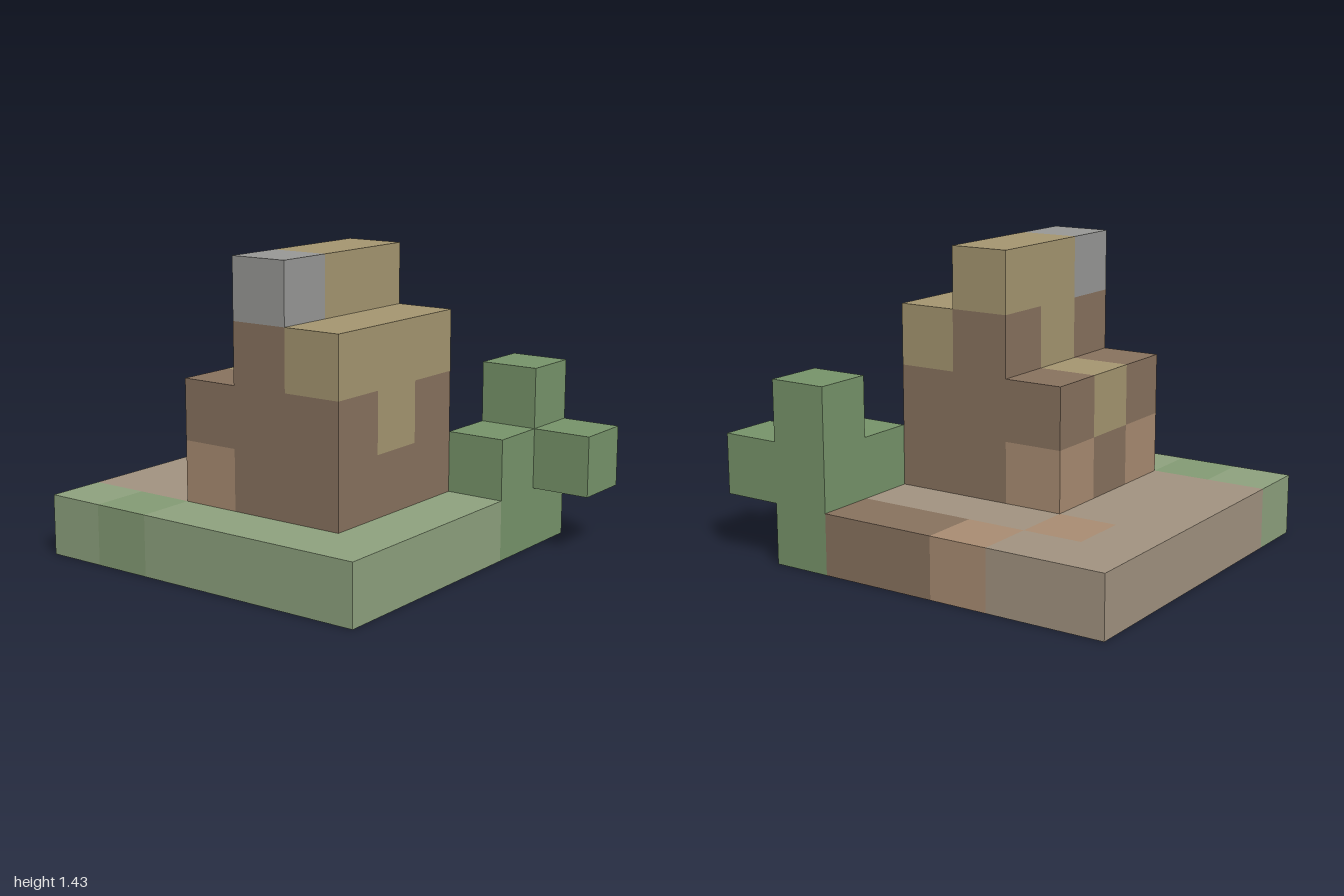
import * as THREE from 'three';
import { mergeGeometries } from 'three/addons/utils/BufferGeometryUtils.js';

const CELL = 2 / 7;

const COLORS = {
  G: 0x8fa37f, // pale grass
  g: 0x859c75, // grass
  D: 0x78956b, // leaves
  T: 0xa39481, // path
  O: 0xaa8d73, // clay
  B: 0x89735f, // brown brick
  Y: 0xa69771, // sandstone
  S: 0x999997, // stone
};

// Layers from the ground up; rows run back to front, characters run from -x to +x
const EMPTY = '......';
const LAYERS = [
  ['GTTTTT', 'gTTTOT', 'GTTTTO', 'GTTTTB', 'GTTTTB', 'GGGGDD', EMPTY],
  [EMPTY, EMPTY, '.OBO..', '.BBB..', '.BBB..', '....DD', '.....D'],
  [EMPTY, EMPTY, '.BYB..', '.BBB..', '.BYB..', '.....D', EMPTY],
  [EMPTY, EMPTY, EMPTY, '.BYB..', '.YYY..', EMPTY, EMPTY],
  [EMPTY, EMPTY, EMPTY, '.SYY..', EMPTY, EMPTY, EMPTY],
];

const cellAt = (i, j, k) => LAYERS[j]?.[k]?.[i] ?? '.';
const isSolid = (i, j, k) => cellAt(i, j, k) !== '.';

const DIRECTIONS = [
  [1, 0, 0], [-1, 0, 0], [0, 1, 0], [0, -1, 0], [0, 0, 1], [0, 0, -1],
].map((d) => new THREE.Vector3(...d));
const FORWARD = new THREE.Vector3(0, 0, 1);

// One square face of a cell, turned to face the given direction
function cellFace(i, j, k, dir) {
  const center = new THREE.Vector3((i - 2.5) * CELL, (j + 0.5) * CELL, (k - 3) * CELL);
  const turn = new THREE.Quaternion().setFromUnitVectors(FORWARD, dir);
  return new THREE.PlaneGeometry(CELL, CELL)
    .applyQuaternion(turn)
    .translate(...center.addScaledVector(dir, CELL / 2).toArray());
}

function partOf(code, j) {
  if (code === 'D') return 'shrub';
  return j === 0 ? 'base' : 'tower';
}

export function createModel() {
  const model = new THREE.Group();
  model.name = 'blockTower';

  // Gather exposed faces by part and colour; the shell is open underneath
  const parts = { base: {}, tower: {}, shrub: {} };
  LAYERS.forEach((rows, j) => rows.forEach((row, k) => [...row].forEach((code, i) => {
    if (code === '.') return;
    for (const dir of DIRECTIONS) {
      const openBottom = j === 0 && dir.y < 0;
      if (openBottom || isSolid(i + dir.x, j + dir.y, k + dir.z)) continue;
      const faces = parts[partOf(code, j)];
      (faces[code] ??= []).push(cellFace(i, j, k, dir));
    }
  })));

  // One group per part, one mesh per colour
  const names = {
    G: 'PaleGrass', g: 'Grass', D: 'Leaves', T: 'Path',
    O: 'Clay', B: 'Brick', Y: 'Sandstone', S: 'Stone',
  };
  for (const [partName, faces] of Object.entries(parts)) {
    const part = new THREE.Group();
    part.name = partName;
    for (const [code, list] of Object.entries(faces)) {
      const material = new THREE.MeshStandardMaterial({
        color: COLORS[code], flatShading: true, side: THREE.DoubleSide,
      });
      const mesh = new THREE.Mesh(mergeGeometries(list), material);
      mesh.name = partName + names[code];
      part.add(mesh);
    }
    model.add(part);
  }
  return model;
}
